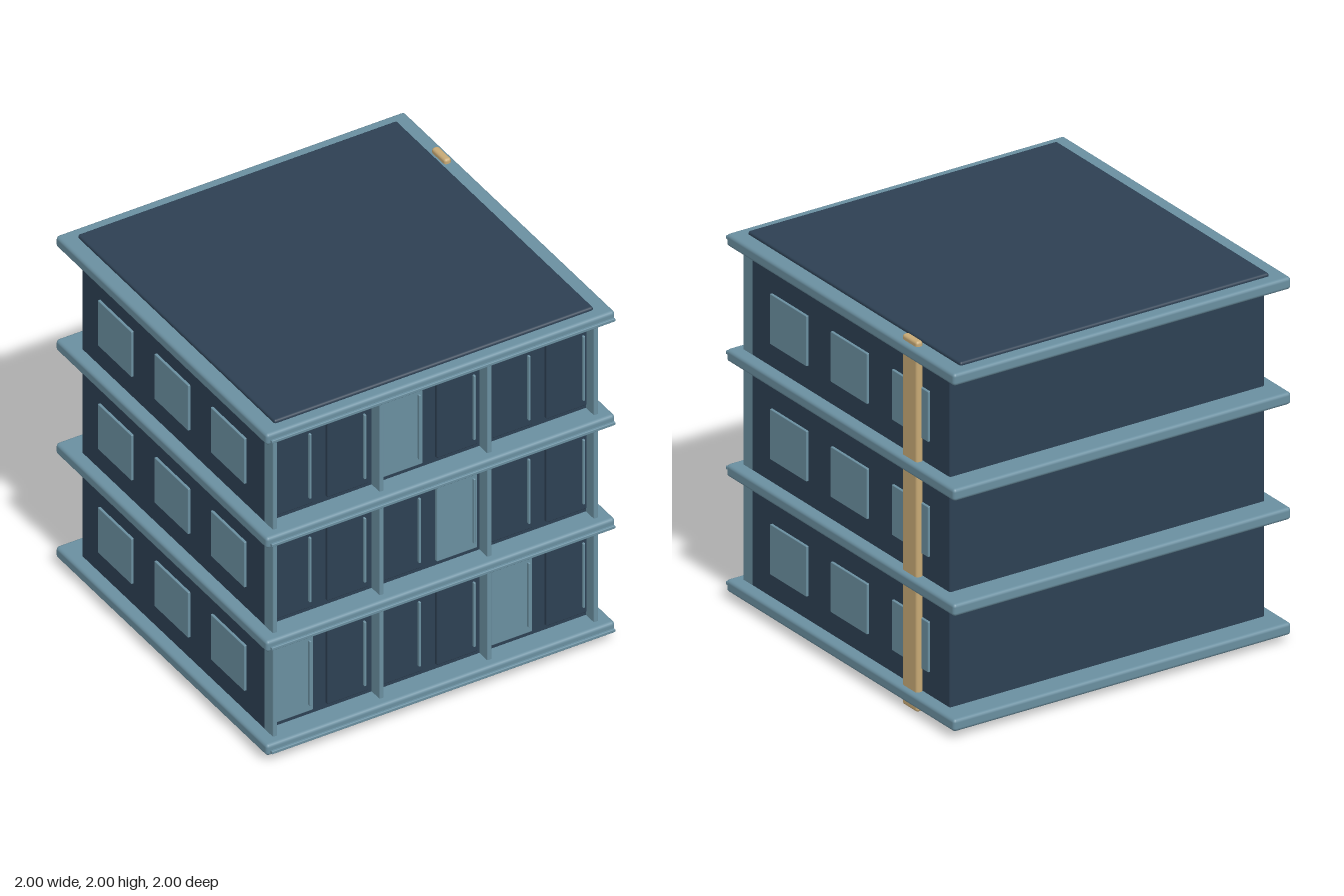
import * as THREE from 'three';
import { RoundedBoxGeometry } from 'three/addons/geometries/RoundedBoxGeometry.js';

const navy = new THREE.MeshStandardMaterial({ name: 'navy wall', color: 0x2d4053 });
const slate = new THREE.MeshStandardMaterial({ name: 'slate trim', color: 0x6a8fa0 });
const tan = new THREE.MeshStandardMaterial({ name: 'tan strip', color: 0xc8aa76 });

// Rounded block given by its extents on each axis
function block(parent, name, material, [x0, x1], [y0, y1], [z0, z1], radius) {
  const geometry = new RoundedBoxGeometry(x1 - x0, y1 - y0, z1 - z0, 2, radius);
  const mesh = new THREE.Mesh(geometry, material);
  mesh.position.set((x0 + x1) / 2, (y0 + y1) / 2, (z0 + z1) / 2);
  mesh.name = name;
  parent.add(mesh);
  return mesh;
}

export function createModel() {
  const model = new THREE.Group();
  model.name = 'building';
  const storey = 0.622;

  // Main volume and roof
  block(model, 'body', navy, [-0.932, 0.932], [0.028, 1.95], [-0.865, 0.85], 0.01);
  block(model, 'roof', navy, [-0.915, 0.915], [1.93, 1.99], [-0.932, 0.91], 0.012);

  // Floor slabs, each with a thin rail along the front
  for (let i = 0; i < 4; i++) {
    const y = 0.074 + i * storey;
    block(model, 'floorSlab', slate, [-1, 1], [y - 0.033, y + 0.033], [-1, 0.975], 0.018);
    block(model, 'frontRail', slate, [-0.985, 0.985], [y - 0.009, y + 0.009], [0.984, 1], 0.004);
  }

  // Storeys: front posts, front panels with handles, side windows
  const lightPanels = [[0, 4], [3], [2]];
  for (let s = 0; s < 3; s++) {
    const base = s * storey;
    const floor = new THREE.Group();
    floor.name = 'storey';
    model.add(floor);

    for (const x of [-0.92, -0.309, 0.309, 0.92]) {
      block(floor, 'frontPost', slate, [x - 0.013, x + 0.013], [base + 0.09, base + 0.68], [0.84, 0.925], 0.006);
    }

    for (let i = 0; i < 6; i++) {
      const x = -0.785 + i * 0.314;
      const material = lightPanels[s].includes(i) ? slate : navy;
      block(floor, 'frontPanel', material, [x - 0.117, x + 0.117], [base + 0.138, base + 0.603], [0.84, 0.87], 0.006);
      block(floor, 'panelHandle', slate, [x + 0.087, x + 0.099], [base + 0.178, base + 0.565], [0.866, 0.884], 0.004);
    }

    for (const side of [-1, 1]) {
      for (const z of [0.517, -0.008, -0.537]) {
        const x = [side * 0.927, side * 0.945].sort((a, b) => a - b);
        block(floor, 'sideWindow', slate, x, [base + 0.233, base + 0.505], [z - 0.158, z + 0.158], 0.004);
      }
    }
  }

  // Full-height vertical strip on one side
  block(model, 'verticalStrip', tan, [0.932, 0.972], [0, 2], [-0.637, -0.507], 0.015);

  return model;
}
